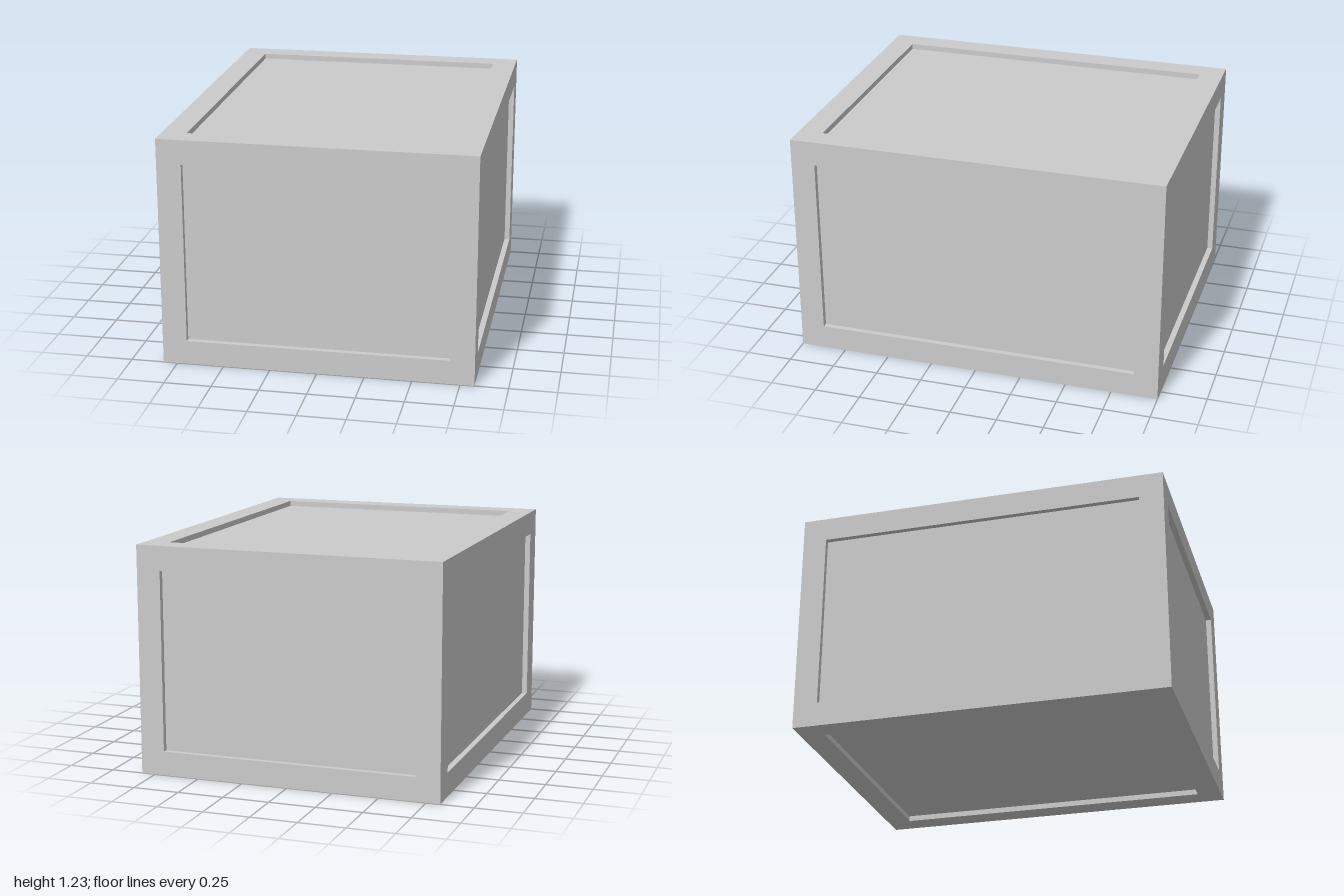
import * as THREE from 'three';

const W = 1.65, H = 1.23, D = 2;   // overall size
const B = 0.13;                    // beam width
const R = 0.03;                    // panel recess and corner lap
const X = W / 2, Z = D / 2;

export function createModel() {
  const crate = new THREE.Group();
  crate.name = 'crate';
  const material = new THREE.MeshStandardMaterial({ color: 0xcccccc });

  const add = (name, geometry, x, y, z, parent = crate) => {
    const mesh = new THREE.Mesh(geometry, material);
    mesh.name = name;
    mesh.position.set(x, y, z);
    parent.add(mesh);
    return mesh;
  };

  // Recessed panels: one closed box set just inside the frame
  add('panelBox', new THREE.BoxGeometry(W - 2 * R, H - 2 * R, D - 2 * R), 0, H / 2, 0);

  // Corner posts, standing between the lower and upper rails
  const posts = new THREE.Group();
  posts.name = 'cornerPosts';
  crate.add(posts);
  const postGeometry = new THREE.BoxGeometry(B, H - 2 * B, B);
  for (const sx of [1, -1]) for (const sz of [1, -1]) {
    add(`${sz > 0 ? 'front' : 'back'}${sx > 0 ? 'Left' : 'Right'}Post`, postGeometry,
      sx * (X - B / 2), H / 2, sz * (Z - B / 2), posts);
  }

  // End rails: full-width face that laps over the ends of the side rails
  const outline = new THREE.Shape([
    [-X, -Z], [X, -Z], [X, R - Z], [X - B, R - Z],
    [X - B, B - Z], [B - X, B - Z], [B - X, R - Z], [-X, R - Z],
  ].map(([x, y]) => new THREE.Vector2(x, y)));
  const endGeometry = new THREE.ExtrudeGeometry(outline, { depth: B, bevelEnabled: false });
  endGeometry.rotateX(-Math.PI / 2);

  // Side rails run between the end rail faces
  const sideGeometry = new THREE.BoxGeometry(B, B, D - 2 * R);

  for (const [level, y] of [['lower', 0], ['upper', H - B]]) {
    const rails = new THREE.Group();
    rails.name = `${level}Rails`;
    crate.add(rails);
    add(`${level}FrontRail`, endGeometry, 0, y, 0, rails);
    add(`${level}BackRail`, endGeometry, 0, y, 0, rails).rotation.y = Math.PI;
    for (const sx of [1, -1]) {
      add(`${level}${sx > 0 ? 'Left' : 'Right'}Rail`, sideGeometry, sx * (X - B / 2), y + B / 2, 0, rails);
    }
  }

  return crate;
}
